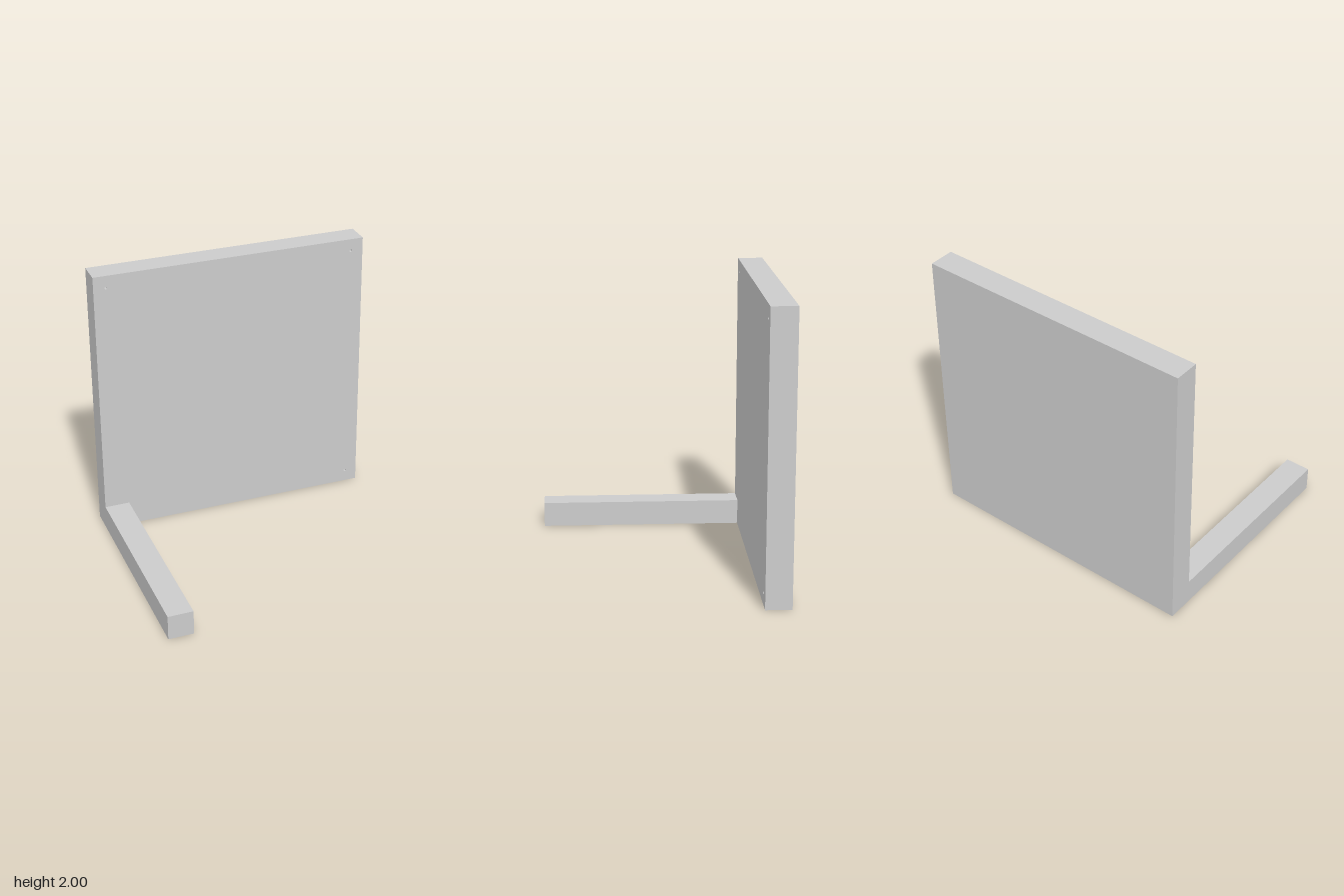
import * as THREE from 'three';

export function createModel() {
  const group = new THREE.Group();
  const material = new THREE.MeshStandardMaterial({ color: 0xcccccc });
  const T = 0.18;          // thickness of panel and bar
  const back = -0.82;      // rear face of the panel
  const holeDepth = 0.09;
  const inset = 0.09;      // hole centre to panel edge

  const add = (name, geometry, x, y, z) => {
    const mesh = new THREE.Mesh(geometry, material);
    mesh.name = name;
    mesh.position.set(x, y, z);
    group.add(mesh);
  };

  // Solid rear layer of the panel, which closes the blind holes
  const rear = T - holeDepth;
  add('panelBack', new THREE.BoxGeometry(2, 2, rear), 0, 1, back + rear / 2);

  // Front layer with small holes in the three free corners
  const face = new THREE.Shape([[-1, 0], [1, 0], [1, 2], [-1, 2]].map(p => new THREE.Vector2(...p)));
  for (const [x, y] of [[-1 + inset, 2 - inset], [1 - inset, 2 - inset], [1 - inset, inset]]) {
    face.holes.push(new THREE.Path().absarc(x, y, 0.01, 0, Math.PI * 2, true));
  }
  add('panelFront', new THREE.ExtrudeGeometry(face, { depth: holeDepth, bevelEnabled: false, curveSegments: 24 }),
    0, 0, back + rear);

  // Square bar reaching forward from the lower corner
  const length = 1.46;
  add('bar', new THREE.BoxGeometry(T, T, length), -1 + T / 2, T / 2, back + T + length / 2);

  return group;
}
